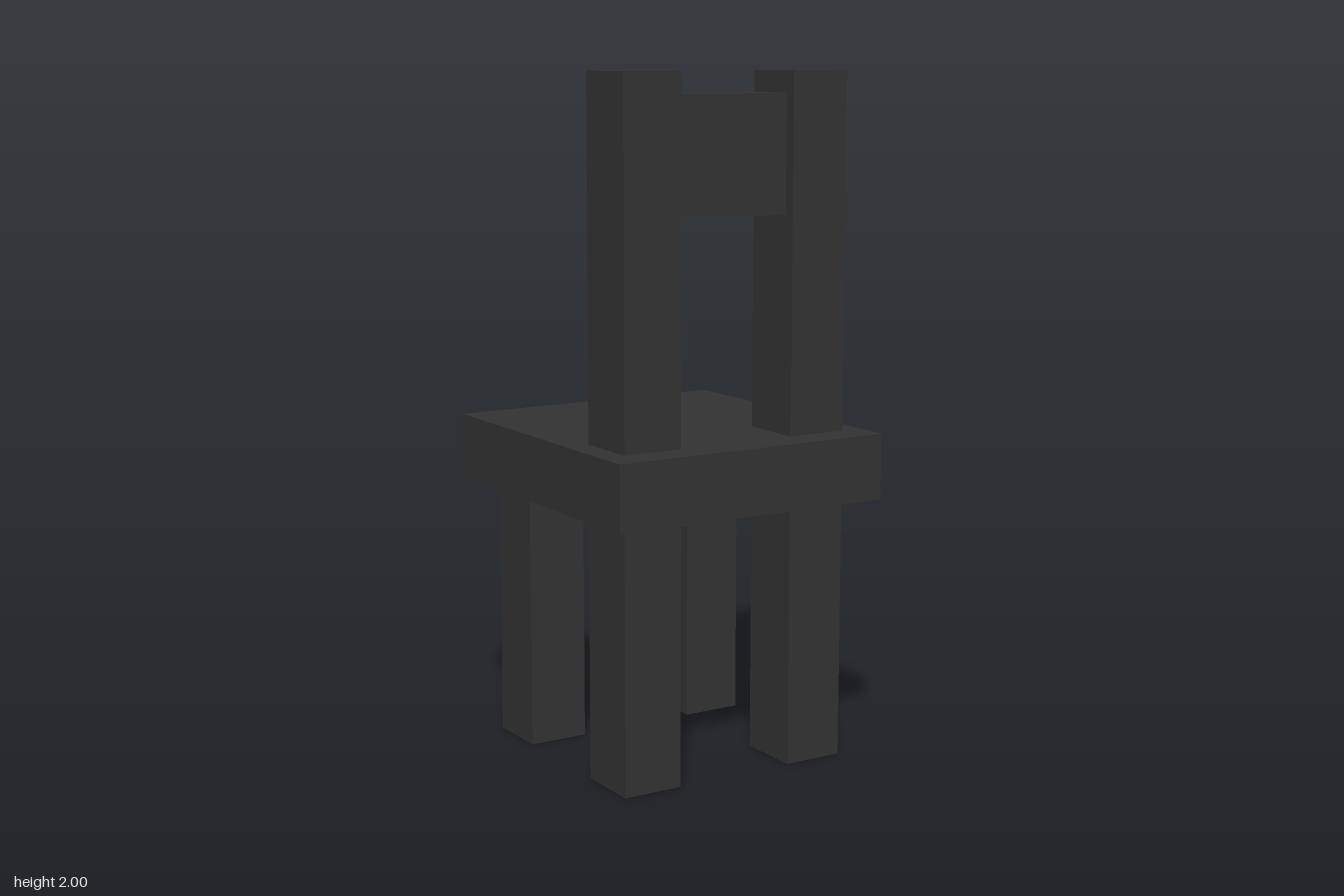
import * as THREE from 'three';

const material = new THREE.MeshStandardMaterial({ color: 0x333333, flatShading: true, side: THREE.DoubleSide });

// Box given by its min/max extents; openEnds drops the top and bottom faces
function block(name, [x0, x1], [y0, y1], [z0, z1], openEnds = false) {
  const geometry = new THREE.BoxGeometry(x1 - x0, y1 - y0, z1 - z0);
  if (openEnds) {
    const index = Array.from(geometry.index.array);
    index.splice(12, 12);
    geometry.setIndex(index);
    geometry.clearGroups();
  }
  const mesh = new THREE.Mesh(geometry, material);
  mesh.name = name;
  mesh.position.set((x0 + x1) / 2, (y0 + y1) / 2, (z0 + z1) / 2);
  return mesh;
}

export function createModel() {
  const chair = new THREE.Group();
  chair.name = 'chair';

  const seatBottom = 0.78, seatTop = 0.972;
  const sides = { right: [-0.363, -0.182], left: [0.186, 0.368] };
  const postZ = [0.172, 0.368], farLegZ = [-0.372, -0.18];

  // Seat slab
  chair.add(block('seat', [-0.436, 0.434], [seatBottom, seatTop], [-0.468, 0.467]));

  // Hollow legs and backrest posts on each side
  for (const [side, x] of Object.entries(sides)) {
    chair.add(block(`${side}PostLeg`, x, [0, seatBottom], postZ, true));
    chair.add(block(`${side}SeatLeg`, x, [0, seatBottom], farLegZ, true));
    chair.add(block(`${side}BackPost`, x, [seatTop, 2], postZ));
  }

  // Backrest board between the posts
  chair.add(block('backrest', [sides.right[1], sides.left[0]], [1.6, 1.938], [0.2, 0.334]));

  return chair;
}
